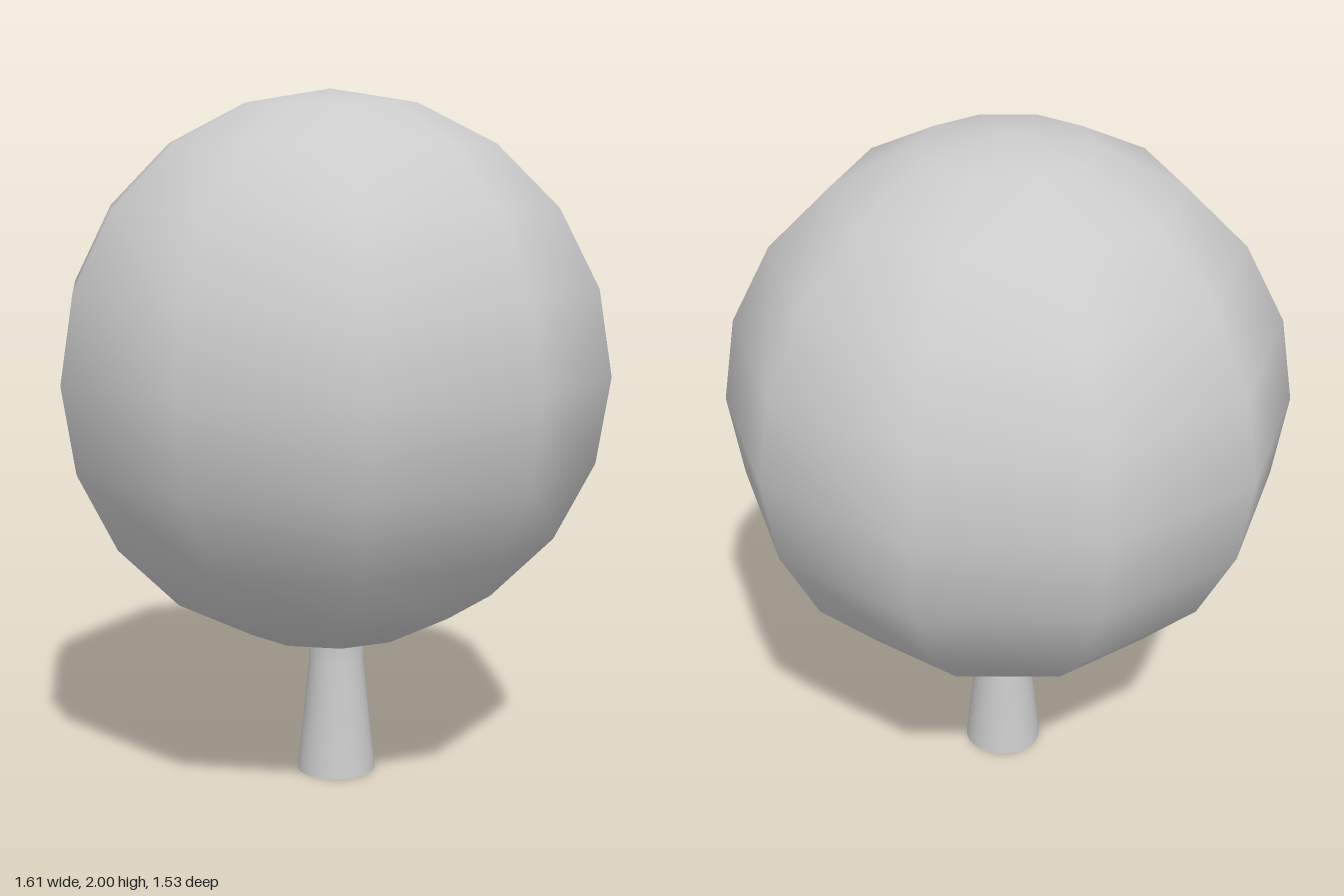
import * as THREE from 'three';

export function createModel() {
  const tree = new THREE.Group();
  tree.name = 'tree';
  const material = new THREE.MeshStandardMaterial({ color: 0xcccccc, side: THREE.DoubleSide });

  // Round crown: a coarse, smooth-shaded ball
  const crown = new THREE.Mesh(new THREE.SphereGeometry(0.805, 10, 10), material);
  crown.name = 'crown';
  crown.scale.y = 0.8 / 0.805;
  crown.position.y = 1.2;
  tree.add(crown);

  // Open trunk: tapers to a neck, then flares slightly into the crown
  const profile = [[0.115, 0], [0.08, 0.34], [0.088, 0.43]].map(([r, y]) => new THREE.Vector2(r, y));
  const trunk = new THREE.Mesh(new THREE.LatheGeometry(profile, 32), material);
  trunk.name = 'trunk';
  trunk.position.x = 0.02;
  tree.add(trunk);

  return tree;
}
